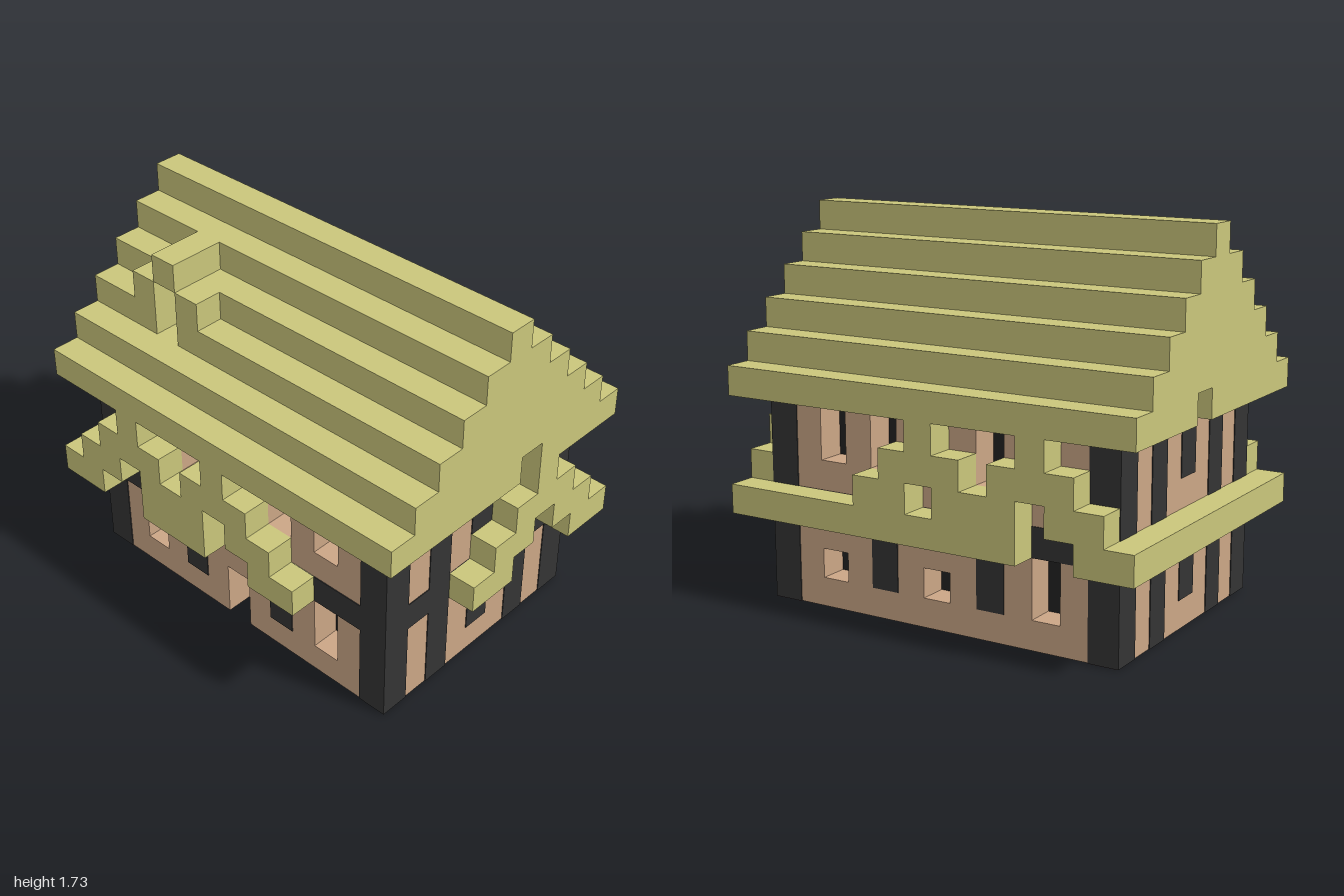
import * as THREE from 'three';

// One block of the grid; the house is 15 x 13 x 11 blocks.
const U = 2 / 15;
const E = 0.03; // small relief of beams over plaster, in blocks

const makeMaterials = () => ({
  thatch: new THREE.MeshStandardMaterial({ name: 'thatch', color: 0xcac67b }),
  plaster: new THREE.MeshStandardMaterial({ name: 'plaster', color: 0xcba686 }),
  timber: new THREE.MeshStandardMaterial({ name: 'timber', color: 0x343434 }),
  glass: new THREE.MeshStandardMaterial({ name: 'darkGlass', color: 0x222222 }),
  footing: new THREE.MeshStandardMaterial({ name: 'footing', color: 0x5a2c32 }),
});

export function createModel() {
  const model = new THREE.Group();
  model.name = 'timberHouse';
  const mat = makeMaterials();

  const part = (name) => {
    const g = new THREE.Group();
    g.name = name;
    model.add(g);
    return g;
  };

  // Box between two corners given in block units
  const box = (parent, name, material, x0, x1, y0, y1, z0, z1) => {
    const geo = new THREE.BoxGeometry((x1 - x0) * U, (y1 - y0) * U, (z1 - z0) * U);
    const mesh = new THREE.Mesh(geo, material);
    mesh.position.set(((x0 + x1) / 2 - 7.5) * U, ((y0 + y1) / 2) * U, ((z0 + z1) / 2 - 5.5) * U);
    mesh.name = name;
    parent.add(mesh);
    return mesh;
  };

  // Same box on both gable ends
  const boxBothEnds = (parent, name, material, x0, x1, ...rest) => {
    box(parent, name, material, x0, x1, ...rest);
    box(parent, name, material, 15 - x1, 15 - x0, ...rest);
  };

  // Plaster wall one block thick, with window openings [x, y0, y1] and optional door
  const pierced = (parent, name, z, openings, door) => {
    const rect = (path, x0, x1, y0, y1) => {
      path.moveTo(x0, y0).lineTo(x1, y0).lineTo(x1, y1).lineTo(x0, y1).closePath();
      return path;
    };
    const s = new THREE.Shape().moveTo(1, 0.02);
    if (door) s.lineTo(7, 0.02).lineTo(7, 2).lineTo(8, 2).lineTo(8, 0.02);
    s.lineTo(14, 0.02).lineTo(14, 7).lineTo(1, 7).closePath();
    for (const [x, y0, y1] of openings) s.holes.push(rect(new THREE.Path(), x, x + 1, y0, y1));
    const geo = new THREE.ExtrudeGeometry(s, { depth: 1, bevelEnabled: false });
    geo.translate(-7.5, 0, z - 5.5).scale(U, U, U);
    const mesh = new THREE.Mesh(geo, mat.plaster);
    mesh.name = name;
    parent.add(mesh);
  };

  // Walls
  const walls = part('walls');
  const upper = [[5, 5, 7], [9, 5, 7], [11, 5, 7]];
  pierced(walls, 'frontWall', 9, [[3, 1, 2], [11, 1, 3], ...upper], true);
  pierced(walls, 'backWall', 1, [[11, 1, 2], [7, 1, 2], [3, 1, 3], ...upper], false);
  boxBothEnds(walls, 'endWall', mat.plaster, 13, 14, 0.02, 7, 2, 9);
  boxBothEnds(walls, 'gableNichePlaster', mat.plaster, 14, 14 + E, 7, 8, 4, 5);
  box(walls, 'floor', mat.plaster, 2, 13, 0.02, 0.05, 2, 9);
  box(walls, 'darkInterior', mat.glass, 2, 13, 0.05, 7, 2, 9);

  // Timber frame: corner posts, waist band and studs
  const frame = part('timberFrame');
  for (const z of [1, 9]) {
    boxBothEnds(frame, 'cornerPost', mat.timber, 13 - E, 14 + E, 0.02, 7, z - E, z + 1 + E);
    boxBothEnds(frame, 'postFoot', mat.footing, 13, 14, 0, 0.02, z, z + 1);
  }
  for (const z of [1 - E, 10]) {
    box(frame, 'waistBeam', mat.timber, 2, 13, 3, 4, z, z + E);
    for (const x of [5, 9]) box(frame, 'stud', mat.timber, x, x + 1, 1, 3, z, z + E);
  }
  boxBothEnds(frame, 'endWaistBeam', mat.timber, 14, 14 + E, 3, 4, 2, 9);
  for (const [z, y0, y1] of [[7, 0.02, 3], [7, 4, 7], [3, 0.02, 3], [3, 4, 7], [5, 1, 3], [5, 5, 7]]) {
    boxBothEnds(frame, 'endStud', mat.timber, 14, 14 + E, y0, y1, z, z + 1);
  }

  // Stepped roof, wide eaves first; the eaves have a niche in each gable
  const roof = part('roof');
  box(roof, 'eaves', mat.thatch, 1, 14, 7, 8, 0, 11);
  boxBothEnds(roof, 'gableEave', mat.thatch, 14, 15, 7, 8, 0, 4);
  boxBothEnds(roof, 'gableEave', mat.thatch, 14, 15, 7, 8, 5, 11);
  for (let i = 1; i <= 5; i++) {
    const front = i === 2 ? 8 : 11 - i; // front row of step 2 is cut for the dormer
    box(roof, 'roofStep', mat.thatch, 0, 15, 7 + i, 8 + i, i, front);
  }
  box(roof, 'roofStep', mat.thatch, 0, 3, 9, 10, 8, 9);
  box(roof, 'roofStep', mat.thatch, 4, 15, 9, 10, 8, 9);

  // Dormer
  const dormer = part('dormer');
  for (const x of [2, 4]) box(dormer, 'dormerCheek', mat.thatch, x, x + 1, 10, 11, 8, 9);
  box(dormer, 'dormerCap', mat.thatch, 3, 4, 11, 12, 7, 9);
  box(dormer, 'dormerWindow', mat.glass, 3, 4, 9, 11, 8, 8 + E);

  // Overgrown lattice skirts: rows of [level, start, end] along each side
  const skirts = part('skirts');
  const lattice = [[4, 1, 3], [4, 4, 7], [4, 8, 10], [5, 2, 5], [5, 6, 9], [6, 3, 4], [6, 7, 8]];
  for (const [y, a, b] of [[3, 1, 2], [3, 4, 7], [3, 9, 11], ...lattice]) {
    box(skirts, 'frontSkirt', mat.thatch, a, b, y, y + 1, 10, 11);
  }
  for (const [y, a, b] of [[3, 1, 2], [3, 4, 15], ...lattice]) {
    box(skirts, 'backSkirt', mat.thatch, a, b, y, y + 1, 0, 1);
  }
  for (const [y, a, b] of [[3, 1, 2], [3, 5, 7], [4, 1, 3], [4, 4, 6], [5, 2, 5], [6, 3, 4]]) {
    box(skirts, 'leftSkirt', mat.thatch, 14, 15, y, y + 1, a, b);
  }
  box(skirts, 'rightSkirt', mat.thatch, 0, 1, 3, 4, 0, 11);

  return model;
}
